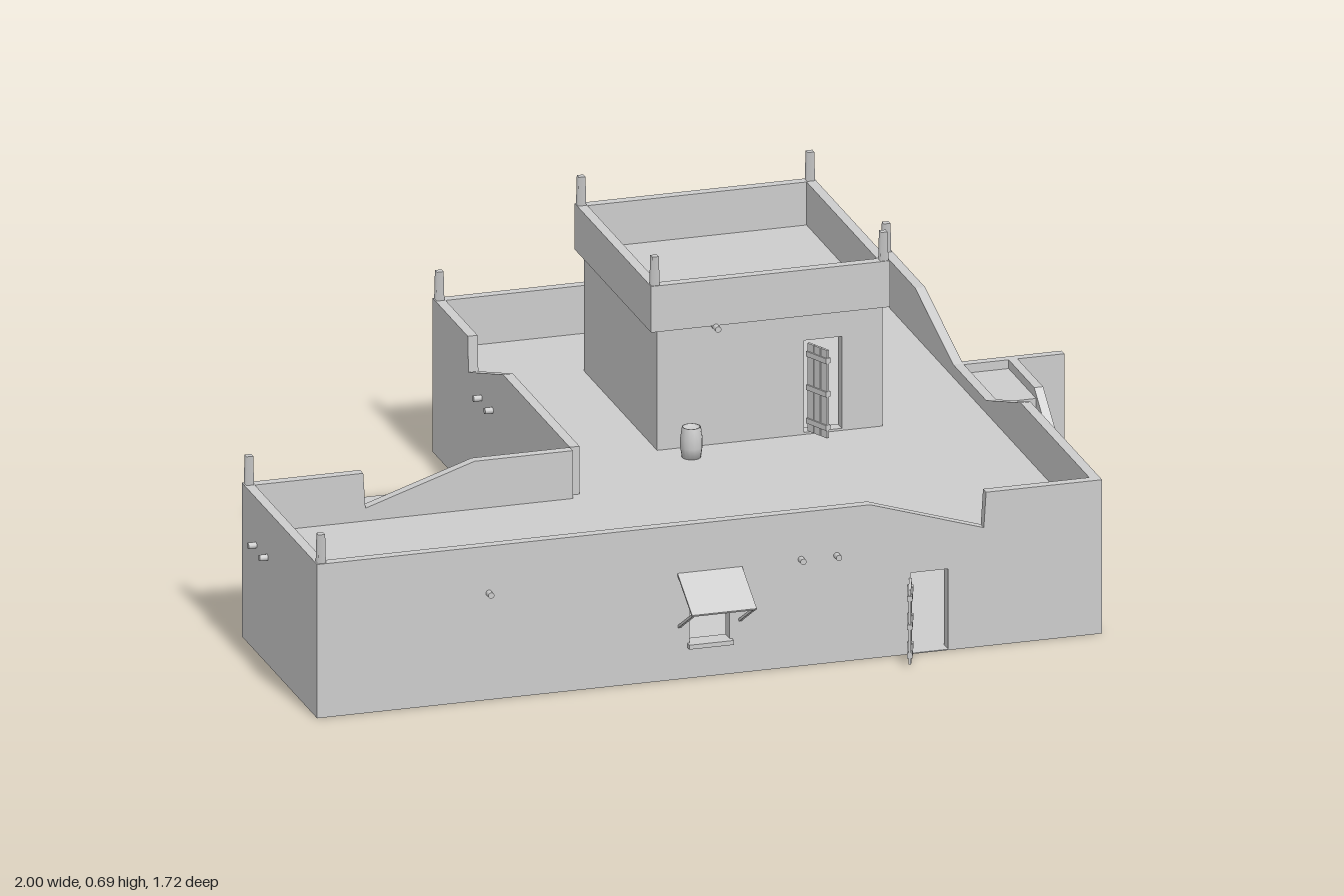
import * as THREE from 'three';

const clay = new THREE.MeshStandardMaterial({ color: 0xcccccc });
clay.name = 'clay';

const ROOF = 0.24;

function add(parent, name, geo, x = 0, y = 0, z = 0) {
  const m = new THREE.Mesh(geo, clay);
  m.name = name;
  m.position.set(x, y, z);
  parent.add(m);
  return m;
}
const box = (w, h, d) => new THREE.BoxGeometry(w, h, d);
const poly = (pts) => new THREE.Shape(pts.map(([x, y]) => new THREE.Vector2(x, y)));
const rect = (x0, y0, x1, y1) => poly([[x0, y0], [x1, y0], [x1, y1], [x0, y1]]);
const extrude = (shape, depth) => new THREE.ExtrudeGeometry(shape, { depth, bevelEnabled: false });

// Frame lying along a wall: local x runs left to right seen from outside, z points out
function wallFrame(parent, name, x0, z0, x1, z1) {
  const g = new THREE.Group();
  g.name = name;
  g.position.set(x0, 0, z0);
  g.rotation.y = Math.atan2(z0 - z1, x1 - x0);
  parent.add(g);
  return g;
}

// Outer wall face with openings [x0, y0, x1, y1], each with a deep reveal
function wallFace(g, length, y0, y1, openings) {
  const face = rect(0, y0, length, y1);
  for (const [a, b, c, d] of openings) {
    face.holes.push(rect(a, b, c, d));
    const reveal = rect(a - 0.008, b - 0.001, c + 0.008, d + 0.008);
    reveal.holes.push(rect(a, b, c, d));
    add(g, 'openingReveal', extrude(reveal, 0.028), 0, 0, -0.03);
  }
  add(g, 'wallFace', new THREE.ShapeGeometry(face));
}

// Parapet standing on the wall, its top following a list of points
function parapet(g, base, top) {
  const end = top[top.length - 1][0];
  add(g, 'parapet', extrude(poly([[0, base], [end, base], ...[...top].reverse()]), 0.022), 0, 0, -0.022);
}

function beamEnds(g, xs, y) {
  for (const x of xs) {
    const geo = new THREE.CylinderGeometry(0.007, 0.007, 0.03, 10).rotateX(Math.PI / 2);
    add(g, 'beamEnd', geo, x, y, 0.003);
  }
}

// Plank door swung outwards on its left hinge
function openDoor(g, x, y, height, width, angle) {
  const door = new THREE.Group();
  door.name = 'door';
  door.position.set(x, y, 0.002);
  door.rotation.y = -angle;
  for (let i = 0; i < 3; i++) {
    add(door, 'doorPlank', box(width / 3 - 0.002, height, 0.006), (i + 0.5) * width / 3, height / 2, 0);
  }
  for (const f of [0.12, 0.5, 0.88]) add(door, 'doorBatten', box(width, 0.012, 0.012), width / 2, height * f, 0);
  g.add(door);
}

// Sloping awning on two struts, with a sill under the window
function awning(g, x) {
  const a = new THREE.Group();
  a.name = 'awning';
  a.position.x = x;
  const board = add(a, 'awningBoard', box(0.145, 0.005, 0.12), 0, 0.21, 0.053);
  board.rotation.x = Math.atan2(0.06, 0.105);
  for (const s of [-1, 1]) {
    const strut = add(a, 'awningStrut', box(0.006, 0.006, 0.115), s * 0.068, 0.15, 0.05);
    strut.rotation.x = -Math.atan2(0.06, 0.1);
  }
  add(a, 'windowSill', box(0.1, 0.01, 0.02), 0, 0.075, 0.004);
  g.add(a);
}

function post(parent, x, z, y0, y1) {
  const geo = new THREE.CylinderGeometry(0.0105, 0.0155, y1 - y0, 4).rotateY(Math.PI / 4);
  add(parent, 'cornerPost', geo, x, (y0 + y1) / 2, z);
}

function barrel(parent, x, y, z, r, h) {
  const pts = [[0, 0], [r * 0.85, 0], [r, h * 0.35], [r, h * 0.65], [r * 0.85, h], [r * 0.75, h], [r * 0.75, h * 0.92], [0, h * 0.92]];
  add(parent, 'barrel', new THREE.LatheGeometry(pts.map(([a, b]) => new THREE.Vector2(a, b)), 14), x, y, z);
}

function createModel() {
  const model = new THREE.Group();
  model.name = 'adobeHouse';

  // L-shaped house walls
  const H = 0.35, L = 0.27;
  const walls = [
    { name: 'frontWall', from: [-0.985, 0.755], to: [0.775, 0.755],
      top: [[0, H], [1.24, H], [1.495, L], [1.5, H], [1.76, H]],
      openings: [[0.835, 0.08, 0.925, 0.17], [1.33, 0.002, 1.415, 0.185]],
      beams: [0.385, 1.085, 1.165], windows: [0.88], door: 1.33 },
    { name: 'rightWall', from: [0.775, 0.755], to: [0.775, -0.755],
      top: [[0, H], [0.51, H], [0.755, L], [0.99, L], [1.26, H], [1.51, H]],
      openings: [], beams: [0.355, 0.435, 1.085, 1.165], windows: [] },
    { name: 'backWall', from: [0.775, -0.755], to: [-0.25, -0.755],
      top: [[0, H], [0.265, H], [0.27, L], [0.52, H], [1.025, H]],
      openings: [[0.345, 0.08, 0.435, 0.17], [0.835, 0.08, 0.925, 0.17]],
      beams: [], windows: [0.39, 0.88] },
    { name: 'courtyardWall', from: [-0.25, -0.755], to: [-0.25, 0.22],
      top: [[0, H], [0.25, H], [0.255, L], [0.5, H], [0.975, H]],
      openings: [[0.6, 0.002, 0.685, 0.185]], beams: [0.345, 0.425], windows: [], door: 0.6 },
    { name: 'armWall', from: [-0.25, 0.22], to: [-0.985, 0.22],
      top: [[0, H], [0.22, H], [0.465, L], [0.47, H], [0.735, H]],
      openings: [], beams: [], windows: [] },
    { name: 'endWall', from: [-0.985, 0.22], to: [-0.985, 0.755],
      top: [[0, H], [0.535, H]], openings: [], beams: [0.1, 0.18], windows: [] },
  ];
  for (const w of walls) {
    const g = wallFrame(model, w.name, ...w.from, ...w.to);
    wallFace(g, w.top[w.top.length - 1][0], 0, ROOF, w.openings);
    parapet(g, ROOF, w.top);
    beamEnds(g, w.beams, ROOF + 0.003);
    w.windows.forEach((x) => awning(g, x));
    if (w.door) openDoor(g, w.door, 0.004, 0.17, 0.075, w.name === 'frontWall' ? 1.9 : 0.75);
  }

  // Flat roof and floor
  const plan = poly(walls.map((w) => [w.from[0], -w.from[1]]));
  add(model, 'roof', new THREE.ShapeGeometry(plan).rotateX(-Math.PI / 2), 0, ROOF + 0.001, 0);
  add(model, 'floor', extrude(plan, 0.002).rotateX(-Math.PI / 2));
  for (const [x, z] of [[-0.973, 0.743], [-0.973, 0.232], [-0.239, -0.743], [0.763, -0.743]]) post(model, x, z, ROOF, 0.415);

  // Upper room with overhanging parapet
  const tower = new THREE.Group();
  tower.name = 'upperRoom';
  model.add(tower);
  const ring = (x0, x1, z0, z1) => [[x0, z1], [x1, z1], [x1, z0], [x0, z0]];
  const body = ring(0.012, 0.518, -0.51, 0.01);
  const rim = ring(-0.005, 0.53, -0.522, 0.022);
  for (let i = 0; i < 4; i++) {
    const p = body[i], q = body[(i + 1) % 4], a = rim[i], b = rim[(i + 1) % 4];
    const g = wallFrame(tower, 'upperWall', ...p, ...q);
    wallFace(g, Math.hypot(q[0] - p[0], q[1] - p[1]), ROOF, 0.515, i === 0 ? [[0.33, 0.245, 0.415, 0.455]] : []);
    if (i === 0) openDoor(g, 0.338, 0.25, 0.2, 0.065, 1.15);
    const len = Math.hypot(b[0] - a[0], b[1] - a[1]);
    const rimWall = wallFrame(tower, 'upperParapet', ...a, ...b);
    parapet(rimWall, 0.515, [[0, 0.62], [len, 0.62]]);
    if (i === 0) beamEnds(rimWall, [0.145], 0.512);
    if (i === 2) beamEnds(rimWall, [0.39], 0.512);
    post(tower, a[0] + (a[0] < 0.2 ? 0.011 : -0.011), a[1] + (a[1] < -0.2 ? 0.011 : -0.011), 0.515, 0.685);
  }
  add(tower, 'upperRoof', box(0.52, 0.006, 0.53), 0.2625, 0.519, -0.25);

  // Outside stairs climbing to the roof
  const stairs = new THREE.Group();
  stairs.name = 'stairs';
  model.add(stairs);
  const steps = 9, run = 0.3 / steps;
  for (let i = 0; i < steps; i++) {
    const h = 0.25 * (i + 1) / steps;
    const front = 0.235 - i * run;
    add(stairs, 'step', box(0.105, h, run), 0.825, h / 2, front - run / 2);
  }
  add(stairs, 'landing', box(0.105, 0.25, 0.165), 0.825, 0.125, -0.1475);
  const side = poly([[-0.24, 0], [0.23, 0], [0.23, 0.27], [0.045, 0.27], [-0.24, 0.05]]);
  add(stairs, 'stairSide', extrude(side, 0.02).rotateY(Math.PI / 2), 0.875, 0, 0);
  add(stairs, 'endPanel', box(0.225, 0.27, 0.02), 0.8875, 0.135, -0.237);

  // Courtyard ground and barrels
  add(model, 'courtyardGround', box(0.495, 0.004, 0.74), -0.4955, 0.002, -0.15);
  barrel(model, -0.317, 0.004, 0.16, 0.031, 0.1);
  barrel(model, 0.07, ROOF, 0.07, 0.024, 0.07);
  barrel(model, -0.92, ROOF, 0.69, 0.024, 0.07);

  return model;
}

export { createModel };
